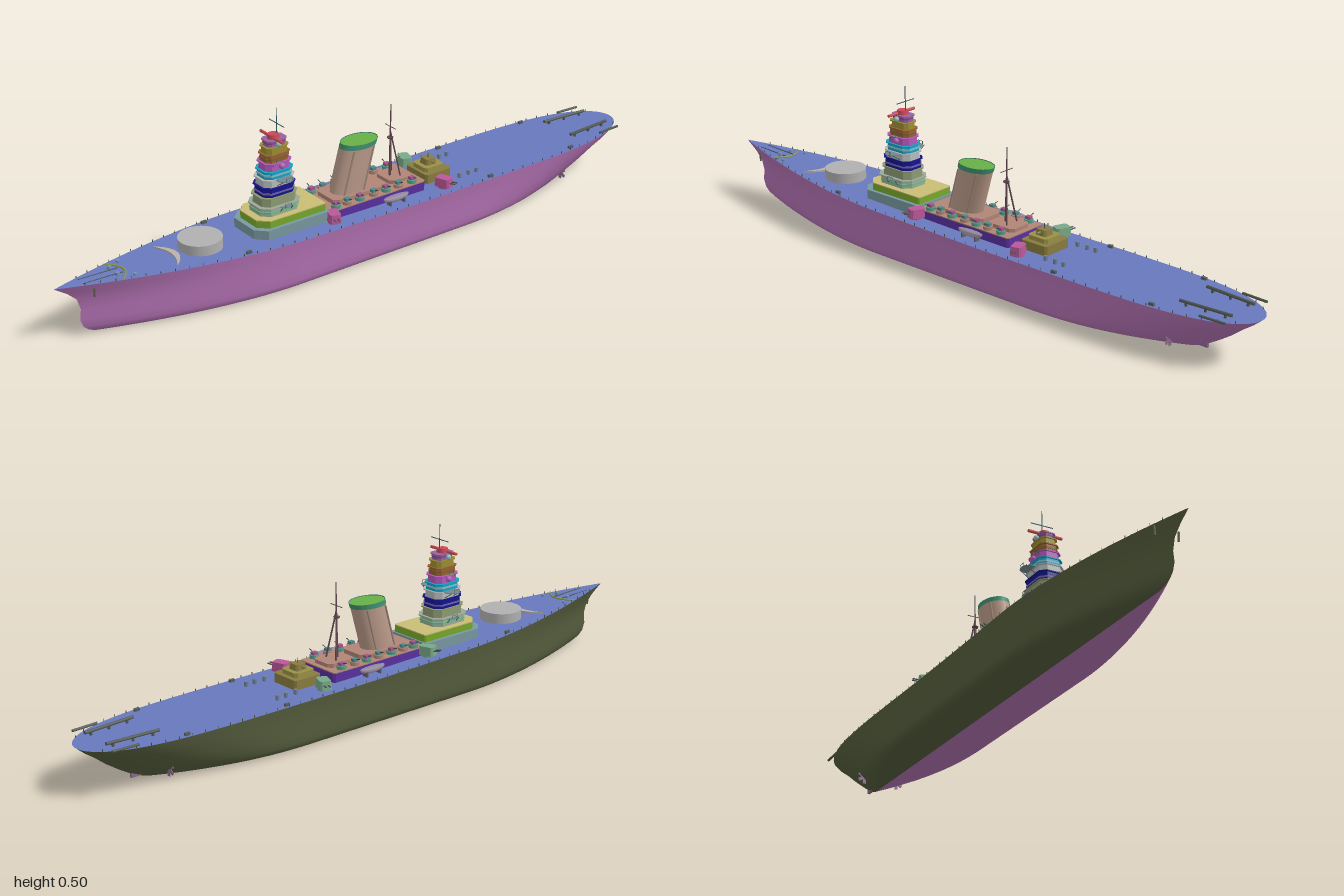
import * as THREE from 'three';

const V = (x, y, z) => new THREE.Vector3(x, y, z);
const lerp = THREE.MathUtils.lerp;
const mats = {};
const mat = (color) => (mats[color] ??= new THREE.MeshStandardMaterial({ color, side: THREE.DoubleSide }));

// sheer line of the deck
const deckY = (z) => 0.139 + 0.028 * Math.max(0, (z + 0.2) / 1.2) ** 1.5;

// waterlines: height fraction, bow z, stern z, half beam, stern fullness p and q
const LINES = [
  [0, 0.86, -0.78, 0.112, 2.2, 1.0], [0.03, 0.885, -0.795, 0.123, 2.2, 1.0],
  [0.08, 0.905, -0.81, 0.13, 2.3, 0.95], [0.16, 0.92, -0.835, 0.133, 2.5, 0.9],
  [0.3, 0.929, -0.868, 0.133, 2.8, 0.8], [0.5, 0.925, -0.91, 0.133, 3.3, 0.7],
  [0.7, 0.935, -0.945, 0.133, 3.8, 0.6], [0.85, 0.962, -0.975, 0.134, 4.2, 0.52],
  [1, 1, -1, 0.136, 4.5, 0.5],
];
function hullPoint(u, j) {
  const [v, zb, zs, b, p, q] = LINES[j];
  const s = -Math.cos(Math.PI * u);
  const z = s > 0 ? zb * s : -zs * s;
  let w = 1;
  if (z > 0.3) w = 1 - Math.min(1, (z - 0.3) / (zb - 0.3)) ** 1.75;
  if (z < -0.3) w = Math.max(0, 1 - Math.min(1, (z + 0.3) / (zs + 0.3)) ** p) ** q;
  return V(b * w, v * deckY(z), z);
}
const deckEdge = (z) => hullPoint(Math.acos(-z) / Math.PI, LINES.length - 1).x;

function grid(fn, nu, nv, flip) {
  const pos = [], idx = [];
  for (let i = 0; i <= nu; i++) for (let j = 0; j <= nv; j++) pos.push(...fn(i / nu, j).toArray());
  for (let i = 0; i < nu; i++) for (let j = 0; j < nv; j++) {
    const a = i * (nv + 1) + j, b = a + nv + 1;
    idx.push(...(flip ? [a, b, a + 1, b, b + 1, a + 1] : [a, a + 1, b, b, a + 1, b + 1]));
  }
  const g = new THREE.BufferGeometry();
  g.setAttribute('position', new THREE.Float32BufferAttribute(pos, 3));
  g.setIndex(idx);
  g.computeVertexNormals();
  return g;
}

// block with chamfered corners, narrowing to the top by the factor taper
function house(hw, z0, z1, y0, y1, cut = 0, taper = 1, cutBack = cut) {
  const d = (z1 - z0) / 2, s = new THREE.Shape();
  [[-hw, -d + cut], [-hw + cut, -d], [hw - cut, -d], [hw, -d + cut],
    [hw, d - cutBack], [hw - cutBack, d], [-hw + cutBack, d], [-hw, d - cutBack]]
    .forEach(([x, y], i) => (i ? s.lineTo(x, y) : s.moveTo(x, y)));
  const g = new THREE.ExtrudeGeometry(s, { depth: y1 - y0, bevelEnabled: false }).rotateX(-Math.PI / 2);
  const p = g.attributes.position;
  for (let i = 0; i < p.count; i++) if (p.getY(i) > (y1 - y0) / 2) p.setXYZ(i, p.getX(i) * taper, p.getY(i), p.getZ(i) * taper);
  g.computeVertexNormals();
  return g.translate(0, y0, (z0 + z1) / 2);
}
const box = (w, h, d) => new THREE.BoxGeometry(w, h, d);
const cyl = (r0, r1, h, n = 12) => new THREE.CylinderGeometry(r1, r0, h, n);
function rod(a, b, r0, r1 = r0, n = 6) {
  const d = b.clone().sub(a), g = cyl(r0, r1, d.length(), n);
  g.applyQuaternion(new THREE.Quaternion().setFromUnitVectors(V(0, 1, 0), d.normalize()));
  const m = a.clone().add(b).multiplyScalar(0.5);
  return g.translate(m.x, m.y, m.z);
}

export function createModel() {
  const root = new THREE.Group();
  const add = (name, geo, color, x = 0, y = 0, z = 0, ry = 0, parent = root) => {
    const m = new THREE.Mesh(geo, mat(color));
    m.name = name;
    m.position.set(x, y, z);
    m.rotation.y = ry;
    parent.add(m);
    return m;
  };
  const pair = (name, geo, color, x, y, z, ry = 0) =>
    [1, -1].forEach((s) => add(name, geo, color, s * x, y, z, s * ry));
  const rods = (name, a, b, r, color) =>
    [1, -1].forEach((s) => add(name, rod(V(s * a[0], a[1], a[2]), V(s * b[0], b[1], b[2]), r), color));

  // hull halves and deck
  const N = 90, top = LINES.length - 1;
  for (const s of [1, -1]) {
    add(s > 0 ? 'hullLeft' : 'hullRight', grid((u, j) => {
      const p = hullPoint(u, Math.max(0, j - 1));
      return V(j ? s * p.x : 0, p.y, p.z);
    }, N, top + 1, s < 0), s > 0 ? 0xb070b0 : 0x545c3c);
  }
  add('deck', grid((u, j) => { const p = hullPoint(u, top); return V(j ? p.x : -p.x, p.y, p.z); }, N, 1, true), 0x6878bc);

  // deck edge: rail posts and mooring bitts
  for (let z = -0.96; z < 0.95; z += 0.04) pair('railPost', box(0.0015, 0.007, 0.0015), 0x44503c, deckEdge(z) - 0.002, deckY(z) + 0.0035, z);
  for (const z of [-0.73, -0.4, 0.46]) pair('bitts', box(0.008, 0.008, 0.016), 0x556060, deckEdge(z) - 0.012, deckY(z) + 0.004, z);
  for (const z of [-0.39, -0.36, -0.325]) pair('ventilator', cyl(0.006, 0.006, 0.014, 10), 0x6f8098, 0.07, deckY(z) + 0.007, z);

  // forecastle: barbette, crescent breakwater, chains and anchors
  add('barbette', cyl(0.063, 0.063, 0.036, 40), 0xb0b0b0, 0, 0.165, 0.545);
  const c = new THREE.Shape();
  c.moveTo(-0.068, -0.662);
  c.quadraticCurveTo(0, -0.58, 0.068, -0.662);
  c.quadraticCurveTo(0, -0.615, -0.068, -0.662);
  add('breakwater', new THREE.ExtrudeGeometry(c, { depth: 0.008, bevelEnabled: false, curveSegments: 20 }).rotateX(-Math.PI / 2), 0xb8b0a8, 0, 0.152, 0);
  const wave = new THREE.QuadraticBezierCurve3(V(-0.052, 0.162, 0.82), V(0, 0.163, 0.76), V(0.052, 0.162, 0.82));
  add('waveBreaker', new THREE.TubeGeometry(wave, 16, 0.003, 6), 0x8a9a50);
  rods('anchorChain', [0.014, 0.161, 0.8], [0.014, 0.164, 0.92], 0.0018, 0x404848);
  pair('capstan', cyl(0.007, 0.006, 0.01), 0x7090b0, 0.022, 0.165, 0.82);
  pair('hatch', cyl(0.006, 0.006, 0.008), 0x7090b0, 0.045, 0.161, 0.78);
  rods('anchor', [0.037, 0.155, 0.9], [0.035, 0.128, 0.9], 0.003, 0x5d6048);

  // bridge base
  add('bridgeDeckhouse', house(0.079, 0.16, 0.4, 0.138, 0.176, 0.03, 1, 0.004), 0x7898a0);
  add('bridgeUpperHouse', house(0.068, 0.165, 0.385, 0.176, 0.196, 0.028, 1, 0.004), 0x78a82c);
  add('bridgeRoof', house(0.068, 0.165, 0.385, 0.196, 0.199, 0.028, 1, 0.004), 0xc8bc74);

  // tower tiers: y0, y1, half width, back z, front z, colour
  const tower = new THREE.Group();
  tower.name = 'bridgeTower';
  root.add(tower);
  [[0.199, 0.224, 0.049, 0.232, 0.362, 0x9aa898], [0.224, 0.251, 0.041, 0.238, 0.354, 0x8a9870],
    [0.251, 0.28, 0.039, 0.242, 0.348, 0x141488], [0.28, 0.303, 0.037, 0.245, 0.345, 0xb4b8b8],
    [0.303, 0.326, 0.035, 0.248, 0.34, 0x18a0c0], [0.326, 0.349, 0.031, 0.252, 0.336, 0xb058b8],
    [0.349, 0.373, 0.027, 0.255, 0.332, 0x986030], [0.373, 0.394, 0.024, 0.258, 0.328, 0x988c30],
    [0.394, 0.413, 0.02, 0.262, 0.323, 0x9a60a0]].forEach(([y0, y1, hw, z0, z1, col], i) => {
    add('towerTier', house(hw, z0, z1, y0, y1, hw * 0.45, 0.96), col, 0, 0, 0, 0, tower);
    add('tierLedge', house(hw + 0.003, z0 - 0.003, z1 + 0.003, y1 - 0.003, y1, hw * 0.45), col, 0, 0, 0, 0, tower);
    if (i % 2 === 0) add('windowBand', house(hw + 0.0008, z0 - 0.001, z1 + 0.001, y0 + 0.008, y0 + 0.013, hw * 0.45), [0x68c088, 0, 0x7060b0, 0, 0x88c0d0, 0, 0x806030, 0, 0x804888][i], 0, 0, 0, 0, tower);
  });

  // wing platforms with slanted braces and rails
  for (const [y, w, z, hw] of [[0.222, 0.064, 0.29, 0.045], [0.303, 0.071, 0.29, 0.036], [0.349, 0.036, 0.3, 0.028]]) {
    add('wingPlatform', house(w, z - 0.025, z + 0.025, y - 0.002, y, 0.015), 0x708890);
    for (const dz of [-0.018, 0.018]) {
      rods('wingBrace', [w - 0.004, y, z + dz], [hw - 0.002, y - 0.022, z + dz], 0.0012, 0x505858);
      pair('wingRailPost', box(0.0012, 0.01, 0.0012), 0x505858, w - 0.002, y + 0.005, z + dz * 0.5);
    }
    rods('wingRail', [w - 0.002, y + 0.009, z - 0.01], [w - 0.002, y + 0.009, z + 0.01], 0.0008, 0x505858);
  }
  pair('sideDirector', new THREE.SphereGeometry(0.009, 14, 10), 0xb860c0, 0.033, 0.337, 0.29);
  pair('searchlight', new THREE.SphereGeometry(0.008, 14, 10), 0x98c0c0, 0.026, 0.402, 0.295);
  add('directorDrum', cyl(0.018, 0.016, 0.012, 20), 0xc84858, 0, 0.419, 0.295);
  add('rangefinder', rod(V(-0.054, 0.416, 0.3), V(0.054, 0.416, 0.3), 0.0045, 0.0045, 12), 0xc85050);
  add('foremast', rod(V(0, 0.42, 0.283), V(0, 0.5, 0.283), 0.002, 0.001), 0x305860);
  add('foremastYard', rod(V(-0.036, 0.453, 0.283), V(0.036, 0.453, 0.283), 0.0013), 0x305860);

  // midship deckhouse
  add('midDeckhouse', house(0.076, -0.19, 0.16, 0.135, 0.166, 0.006), 0x5830a0);
  add('midRoof', house(0.076, -0.19, 0.16, 0.166, 0.169, 0.006), 0xb08474);
  add('funnelHouse', house(0.05, -0.06, 0.12, 0.169, 0.182, 0.015), 0xb08474);
  add('aftMidHouse', house(0.04, -0.175, -0.09, 0.169, 0.18, 0.012), 0xb08474);
  [0.125, 0.085, 0.04, -0.01, -0.055, -0.1, -0.15].forEach((z, i) => {
    pair('gunTub', cyl(0.014, 0.014, 0.01, 8), i % 2 ? 0xb08474 : 0x50a088, 0.06, 0.174, z);
    pair('lightGun', box(0.014, 0.01, 0.016), i % 2 ? 0x508888 : 0xa05888, 0.06, 0.183, z);
    rods('gunBarrel', [0.064, 0.185, z], [0.082, 0.191, z], 0.0012, 0x404848);
  });

  // raked oval funnel
  const rake = (g) => {
    const p = g.attributes.position;
    for (let i = 0; i < p.count; i++) p.setZ(i, p.getZ(i) - (p.getY(i) - 0.325) * -0.28 * -1);
    g.computeVertexNormals();
    return g;
  };
  const oval = (r, y0, y1, open) => rake(new THREE.CylinderGeometry(r, r, y1 - y0, 36, 1, open).scale(1, 1, 1.5).translate(0, (y0 + y1) / 2, -0.002));
  add('funnel', oval(0.039, 0.165, 0.316, true), 0xb89888);
  add('funnelBand', oval(0.0405, 0.312, 0.327, true), 0x409070);
  add('funnelCap', oval(0.0395, 0.32, 0.325), 0x68b048);
  for (const k of [-1, 1]) pair('steamPipe', rake(cyl(0.003, 0.003, 0.14, 6).translate(0, 0.24, k * 0.035)), 0xa08878, 0.034, 0, 0);

  // tripod mainmast
  add('mainmast', rod(V(0, 0.165, -0.115), V(0, 0.405, -0.118), 0.004, 0.0015), 0x604850);
  rods('mastLeg', [0.024, 0.165, -0.14], [0, 0.32, -0.117], 0.0025, 0x604850);
  add('mainmastYard', rod(V(-0.025, 0.335, -0.117), V(0.025, 0.335, -0.117), 0.0012), 0x604850);
  add('mastPlatform', cyl(0.008, 0.01, 0.004), 0x604850, 0, 0.3, -0.116);

  // aft control house
  add('aftHouse', house(0.05, -0.31, -0.215, 0.135, 0.167, 0.006), 0x887c40);
  add('aftUpperHouse', house(0.034, -0.295, -0.225, 0.167, 0.18, 0.008), 0x9a9048);
  add('aftDirector', house(0.02, -0.28, -0.24, 0.18, 0.197, 0.006, 0.85), 0x887c40);
  add('aftRangefinder', rod(V(-0.032, 0.19, -0.26), V(0.032, 0.19, -0.26), 0.0035), 0x908848);
  add('aftPole', rod(V(0, 0.195, -0.26), V(0, 0.212, -0.26), 0.0012), 0x505050);

  // secondary gun mounts
  for (const [x, z, ry, dir] of [[0.094, -0.245, 0.35, -1], [0.09, 0.155, -0.35, 1]]) {
    for (const s of [1, -1]) {
      const g = new THREE.Group();
      g.name = 'secondaryMount';
      g.position.set(s * x, deckY(z), z);
      g.rotation.y = s * ry;
      root.add(g);
      const col = s > 0 ? 0xb85898 : 0x78a888;
      add('mountShield', house(0.025, -0.018, 0.018, 0.005, 0.032, 0.006, 0.9), col, 0, 0, 0, 0, g);
      add('mountBase', cyl(0.017, 0.017, 0.006, 16), col, 0, 0.003, 0, 0, g);
      for (const k of [-0.006, 0.006]) add('mountBarrel', rod(V(s * 0.02, 0.019, k), V(s * 0.042, 0.022, k), 0.002), 0x505858, 0, 0, 0, 0, g);
    }
  }

  // ship's boats on the deck edge
  pair('boat', new THREE.SphereGeometry(1, 16, 8, 0, Math.PI * 2, Math.PI / 2, Math.PI / 2).scale(0.012, 0.016, 0.046), 0xb0a0b0, 0.096, 0.163, -0.065);
  pair('boatCover', new THREE.SphereGeometry(1, 16, 6, 0, Math.PI * 2, 0, Math.PI / 2).scale(0.012, 0.004, 0.046), 0x9088a0, 0.096, 0.163, -0.065);
  for (const z of [-0.09, -0.04]) pair('boatCradle', box(0.018, 0.016, 0.004), 0x606068, 0.096, 0.147, z);

  // stern rails, side booms, shafts, screws and rudder
  rods('aircraftRail', [0.05, 0.151, -0.94], [0.061, 0.151, -0.78], 0.005, 0x505850);
  for (const z of [-0.92, -0.86, -0.8]) pair('railSupport', box(0.006, 0.012, 0.006), 0x505850, lerp(0.05, 0.061, (z + 0.94) / 0.16), 0.145, z);
  rods('sideBoom', [0.094, 0.146, -0.95], [0.098, 0.146, -0.87], 0.004, 0x505850);
  rods('propellerShaft', [0.05, 0.035, -0.58], [0.055, 0.03, -0.755], 0.004, 0x8a6a8a);
  for (let i = 0; i < 3; i++) pair('propellerBlade', box(0.01, 0.044, 0.002).rotateZ((i * Math.PI) / 3), 0x8a6a8a, 0.055, 0.03, -0.75);
  rods('shaftStrut', [0.055, 0.03, -0.735], [0.035, 0.075, -0.735], 0.003, 0x8a6a8a);
  add('rudder', box(0.008, 0.07, 0.05), 0x8a6a8a, 0, 0.045, -0.81);
  return root;
}
